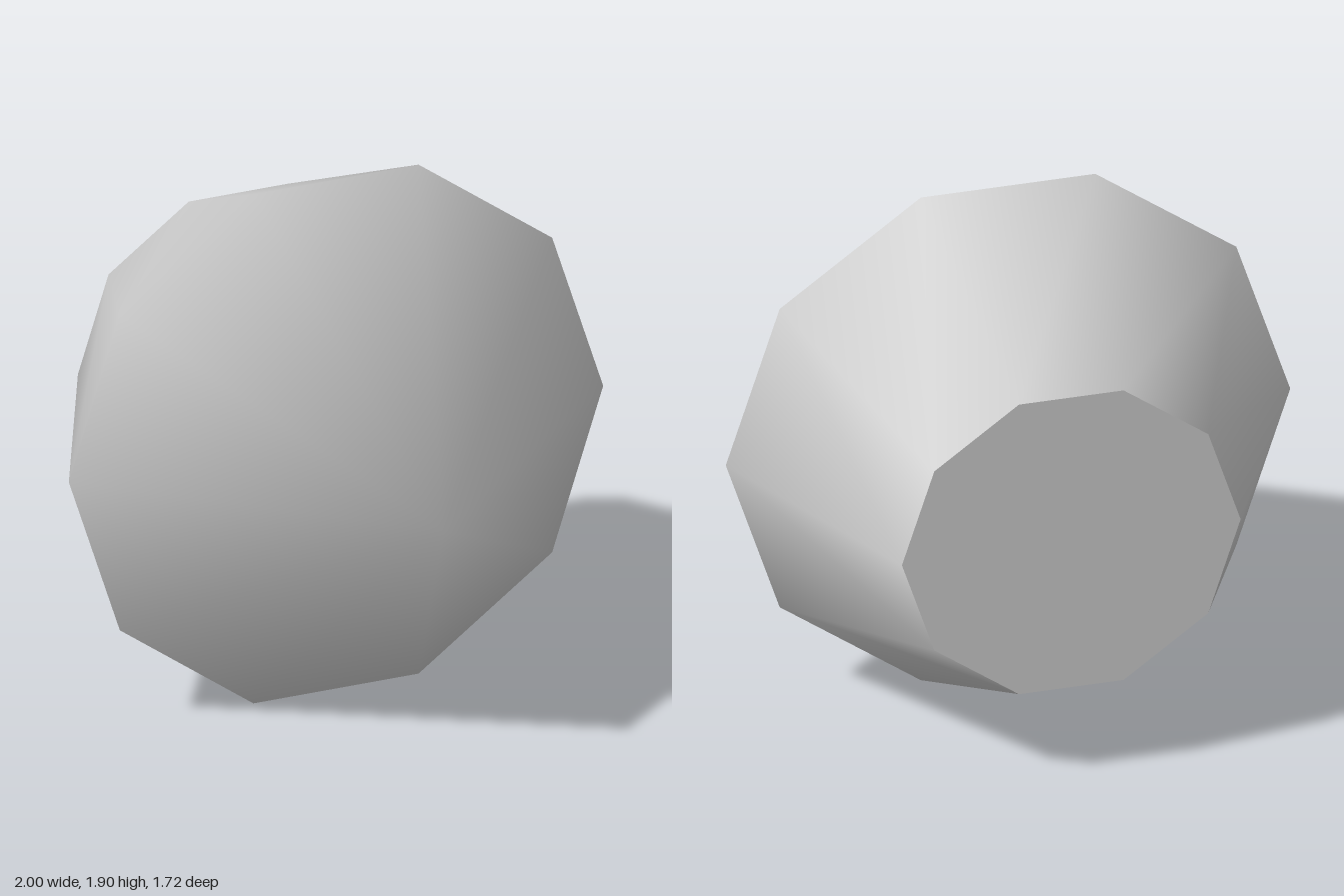
import * as THREE from 'three';
import { mergeVertices } from 'three/addons/utils/BufferGeometryUtils.js';

const SIDES = 10;
const CENTRE_Y = Math.cos(Math.PI / 10); // decagon rests on a flat side
const GIRDLE_Z = -0.04, TIP_Z = 0.86, BACK_Z = -0.86, BACK_RADIUS = 0.6;

// Open decagonal band along z, smoothed across all its faces
function band(frontRadius, backRadius, frontZ, backZ) {
  const g = new THREE.CylinderGeometry(frontRadius, backRadius, frontZ - backZ, SIDES, 1, true, Math.PI / 2);
  g.rotateX(Math.PI / 2);
  g.translate(0, CENTRE_Y, (frontZ + backZ) / 2);
  g.deleteAttribute('uv');
  g.deleteAttribute('normal');
  const merged = mergeVertices(g, 1e-4);
  merged.computeVertexNormals();
  return merged;
}

export function createModel() {
  const group = new THREE.Group();
  group.name = 'cutGem';
  const stone = new THREE.MeshStandardMaterial({ color: 0xcccccc });
  stone.name = 'greyStone';

  const add = (name, geometry) => {
    const mesh = new THREE.Mesh(geometry, stone);
    mesh.name = name;
    group.add(mesh);
  };

  // Pointed half facing forward
  add('pavilion', band(0, 1, TIP_Z, GIRDLE_Z));
  // Tapered half behind the girdle
  add('crown', band(1, BACK_RADIUS, GIRDLE_Z, BACK_Z));
  // Flat decagonal face at the back
  const table = new THREE.CircleGeometry(BACK_RADIUS, SIDES);
  table.rotateY(Math.PI);
  table.translate(0, CENTRE_Y, BACK_Z);
  add('table', table);

  return group;
}
